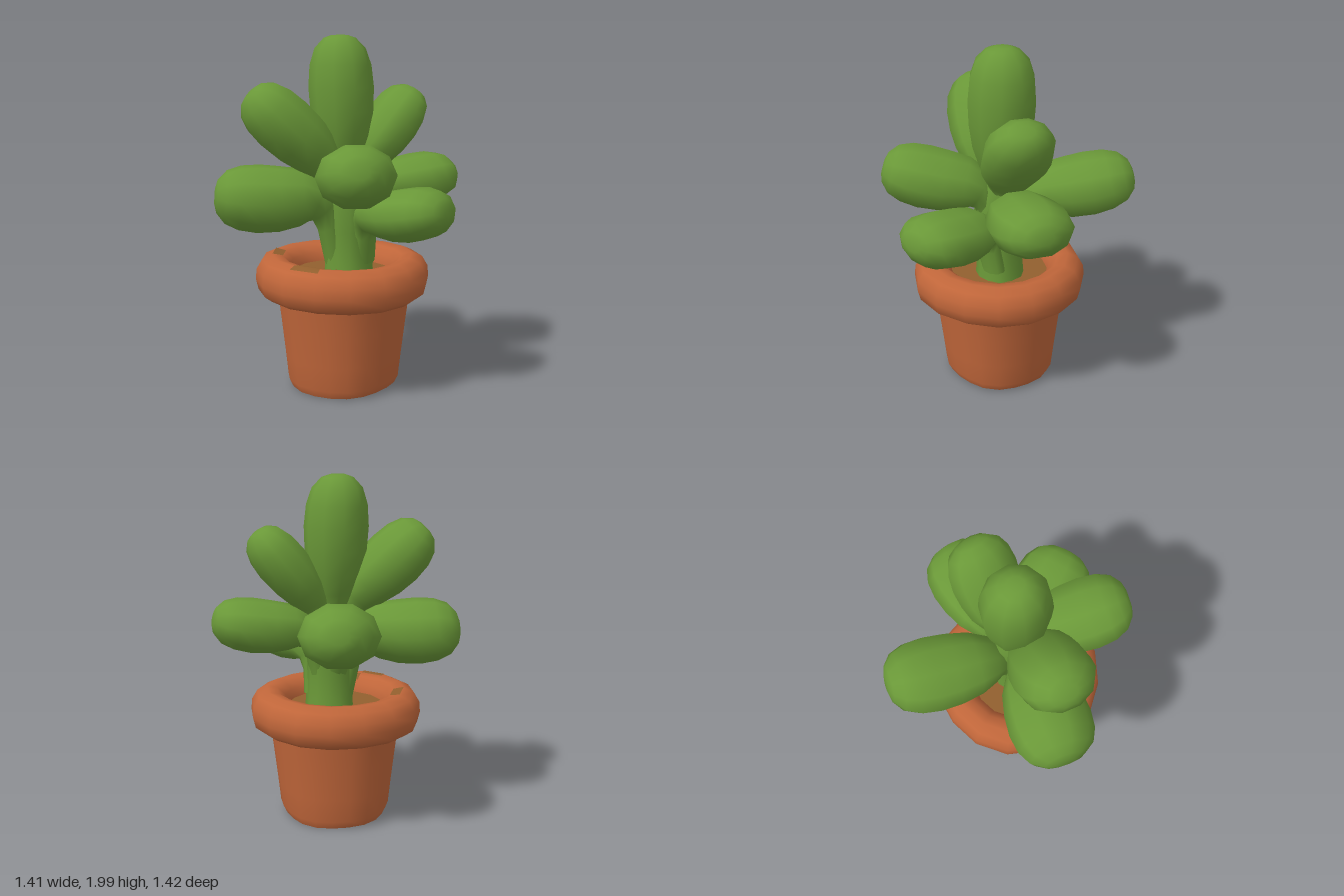
import * as THREE from 'three';
import { mergeVertices } from 'three/addons/utils/BufferGeometryUtils.js';

const V = (x, y, z) => new THREE.Vector3(x, y, z);
const green = new THREE.MeshStandardMaterial({ color: 0x6a9838 });
green.name = 'leaf green';
const terracotta = new THREE.MeshStandardMaterial({ color: 0xc0663a });
terracotta.name = 'terracotta';
const soilBrown = new THREE.MeshStandardMaterial({ color: 0x925f2e });
soilBrown.name = 'soil brown';

// Lathe with slightly uneven, hand-formed walls and a seamless smooth surface
function clayLathe(profile, segments, wobble, phase, start = 0, length = Math.PI * 2) {
  let g = new THREE.LatheGeometry(profile.map(([x, y]) => new THREE.Vector2(x, y)), segments, start, length);
  g.deleteAttribute('uv');
  g.deleteAttribute('normal');
  const p = g.attributes.position;
  for (let i = 0; i < p.count; i++) {
    const x = p.getX(i), z = p.getZ(i), a = Math.atan2(z, x);
    const k = 1 + wobble * (Math.sin(5 * a + phase) + 0.6 * Math.sin(3 * a + 1.7 * phase));
    p.setXYZ(i, x * k, p.getY(i) + wobble * 0.3 * Math.sin(2 * a + phase), z * k);
  }
  g = mergeVertices(g, 1e-4);
  g.computeVertexNormals();
  return g;
}

// Stations along a leaf: [position, share of full blade radius]
const leafProfile = [
  [0, 0.38], [0.17, 0.38], [0.27, 0.48], [0.35, 0.66], [0.46, 0.87], [0.59, 0.99],
  [0.72, 1.03], [0.84, 0.97], [0.93, 0.8], [0.985, 0.5], [1, 0.25], [1, 0],
];

// Plump leaf with its stalk: ellipses swept from the trunk through the neck to the tip
function leafGeometry(base, neck, tip, width, thickness, sides = 10) {
  const curve = new THREE.CatmullRomCurve3([base, neck, neck.clone().lerp(tip, 0.5), tip]);
  const blade = tip.clone().sub(neck).normalize();
  const side = blade.y > 0.95 ? V(1, 0, 0) : V(0, 1, 0).cross(blade).normalize();
  const pos = [], index = [];
  leafProfile.forEach(([u, r], i) => {
    const c = curve.getPoint(u);
    const dir = curve.getTangent(u).lerp(blade, u).normalize();
    const up = dir.clone().cross(side).normalize();
    for (let j = 0; j < sides; j++) {
      const a = (j / sides) * Math.PI * 2;
      const q = c.clone()
        .addScaledVector(side, Math.cos(a) * r * width / 2)
        .addScaledVector(up, Math.sin(a) * r * thickness / 2);
      pos.push(q.x, q.y, q.z);
      if (i === 0) continue;
      const k = (j + 1) % sides, lo = (i - 1) * sides, hi = i * sides;
      index.push(lo + j, lo + k, hi + k, lo + j, hi + k, hi + j);
    }
  });
  let g = new THREE.BufferGeometry();
  g.setAttribute('position', new THREE.Float32BufferAttribute(pos, 3));
  g.setIndex(index);
  g = mergeVertices(g, 1e-4);
  g.computeVertexNormals();
  return g;
}

export function createModel() {
  const model = new THREE.Group();
  model.name = 'pottedSucculent';
  const add = (parent, name, geometry, material) => {
    const m = new THREE.Mesh(geometry, material);
    m.name = name;
    parent.add(m);
    return m;
  };

  // Pot
  const pot = new THREE.Group();
  pot.name = 'pot';
  pot.position.set(0.013, 0, 0.06);
  model.add(pot);
  const wall = [[0.3, 0.015], [0.322, 0.06], [0.337, 0.2], [0.358, 0.38], [0.38, 0.56]];
  add(pot, 'potBody', clayLathe(wall, 20, 0.02, 0.8), terracotta);
  add(pot, 'potBottom', clayLathe([[0, 0.02], [0.3, 0.015]], 20, 0.02, 0.8), terracotta);
  add(pot, 'potRim', clayLathe([
    [0.3, 0.56], [0.44, 0.54], [0.482, 0.57], [0.497, 0.63], [0.492, 0.69], [0.46, 0.745],
    [0.4, 0.772], [0.34, 0.76], [0.295, 0.72], [0.275, 0.66], [0.27, 0.58],
  ], 16, 0.008, 2.1), terracotta);
  const soil = add(pot, 'soil', new THREE.CircleGeometry(0.29, 20), soilBrown);
  soil.rotation.x = -Math.PI / 2;
  soil.position.y = 0.67;

  // Smudges of soil lying on facets of the rim
  const facet = Math.PI / 8;
  const smudges = [
    [-2, [[0.44, 0.761], [0.4, 0.777], [0.37, 0.772]]],
    [-5, [[0.4, 0.777], [0.34, 0.765]]],
    [-1, [[0.36, 0.769], [0.339, 0.764], [0.31, 0.74]]],
  ];
  for (const [step, profile] of smudges) {
    add(pot, 'soilSmudge', clayLathe(profile, 1, 0.008, 2.1, step * facet, facet), soilBrown);
  }

  // Plant
  const plant = new THREE.Group();
  plant.name = 'plant';
  model.add(plant);
  const trunk = add(plant, 'trunk', clayLathe([
    [0.14, 0.66], [0.13, 0.78], [0.13, 0.92], [0.145, 1.05], [0.13, 1.2], [0.09, 1.36], [0, 1.42],
  ], 12, 0.03, 1.2), green);
  trunk.position.set(0.045, 0, 0.055);

  // name, base, neck, tip, width, thickness
  const leaves = [
    ['backLeaf', V(0.03, 0.8, 0.03), V(-0.02, 1.12, -0.11), V(-0.055, 1.245, -0.7), 0.43, 0.345],
    ['frontLeaf', V(0.06, 0.82, 0.09), V(0.05, 1.19, 0.16), V(0.045, 1.335, 0.7), 0.42, 0.335],
    ['lowerRightLeaf', V(-0.02, 0.74, 0.06), V(-0.13, 1.08, 0.09), V(-0.7, 1.125, 0.125), 0.46, 0.37],
    ['upperRightLeaf', V(0.02, 1.0, 0.06), V(-0.08, 1.29, 0.11), V(-0.495, 1.695, 0.17), 0.42, 0.34],
    ['topLeaf', V(0.04, 1.0, 0.05), V(0.02, 1.32, 0.05), V(0.0, 2.0, 0.035), 0.355, 0.375],
    ['upperLeftLeaf', V(0.06, 1.0, 0.05), V(0.13, 1.28, 0.01), V(0.44, 1.69, -0.085), 0.38, 0.29],
    ['lowerLeftLeaf', V(0.09, 0.8, 0.03), V(0.18, 1.12, -0.02), V(0.68, 1.21, -0.175), 0.43, 0.295],
    ['frontLeftLeaf', V(0.13, 0.74, 0.09), V(0.16, 0.99, 0.15), V(0.52, 1.09, 0.505), 0.43, 0.29],
  ];
  for (const [name, base, neck, tip, w, t] of leaves) {
    add(plant, name, leafGeometry(base, neck, tip, w, t), green);
  }
  return model;
}
